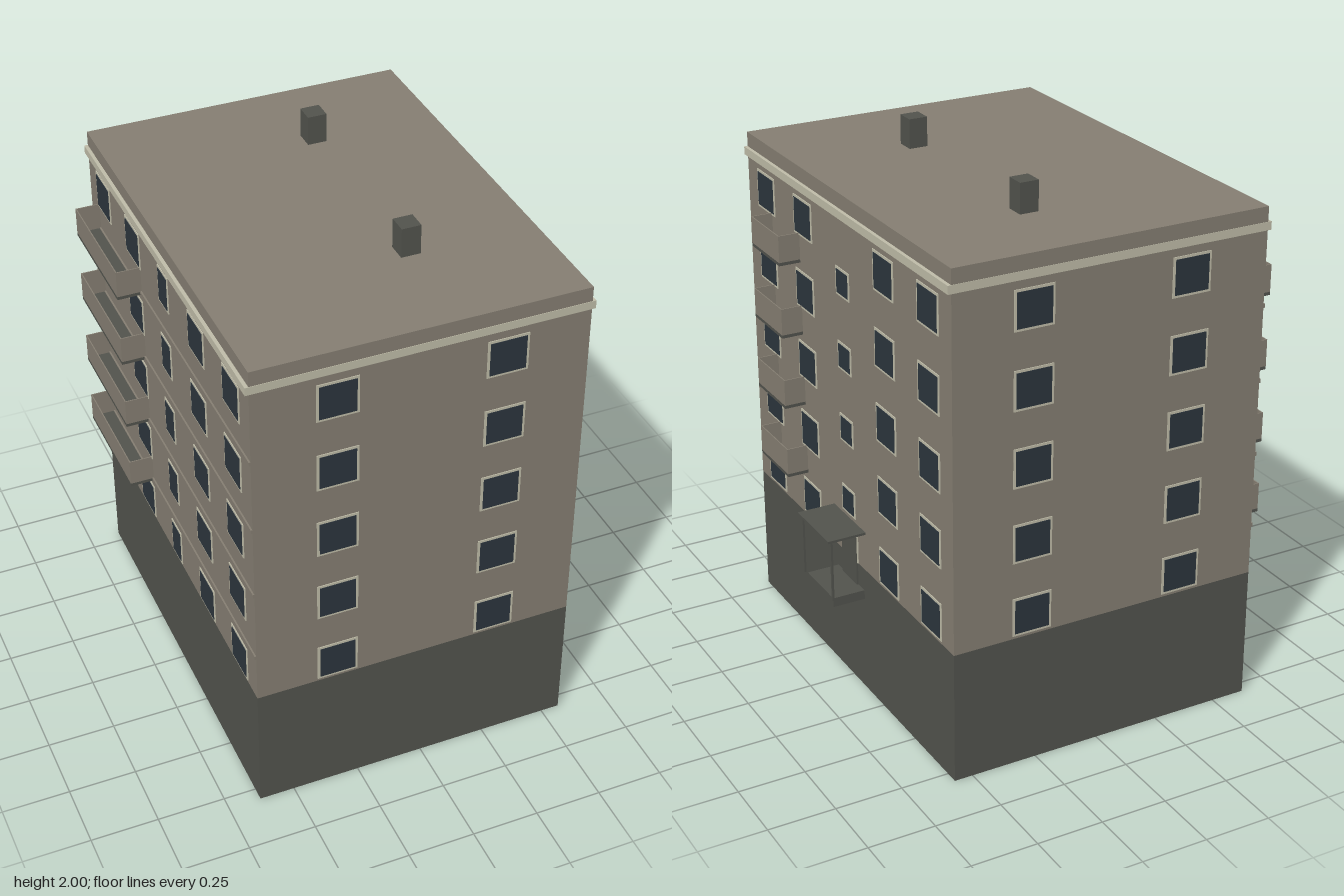
import * as THREE from 'three';

const material = (name, color) => {
  const m = new THREE.MeshStandardMaterial({ color });
  m.name = name;
  return m;
};

export function createModel() {
  const wall = material('wall plaster', 0x857e72);
  const dark = material('dark concrete', 0x52534d);
  const glass = material('window glass', 0x2c353d);
  const trim = material('pale trim', 0xbfbca8);

  const model = new THREE.Group();
  model.name = 'apartmentBlock';
  const X0 = -0.63, X1 = 0.57, CX = -0.03, Z = 0.8;

  // Box given by its minimum and maximum corners
  const box = (name, mat, x0, x1, y0, y1, z0, z1, parent = model) => {
    const mesh = new THREE.Mesh(new THREE.BoxGeometry(x1 - x0, y1 - y0, z1 - z0), mat);
    mesh.position.set((x0 + x1) / 2, (y0 + y1) / 2, (z0 + z1) / 2);
    mesh.name = name;
    parent.add(mesh);
    return mesh;
  };

  // Main volumes
  box('plinth', dark, X0, X1, 0, 0.5, -Z, Z);
  box('walls', wall, X0, X1, 0.5, 1.89, -Z, Z);
  box('cornice', trim, X0 - 0.013, X1 + 0.013, 1.805, 1.835, -Z - 0.002, Z + 0.002);
  for (const z of [-0.437, 0.363]) {
    box('chimney', dark, 0.068, 0.139, 1.89, 2, z - 0.036, z + 0.036);
  }

  // Each facade is a group whose local +z points out of the wall
  const facade = (name, x, z, turn) => {
    const g = new THREE.Group();
    g.name = name;
    g.position.set(x, 0, z);
    g.rotation.y = turn;
    model.add(g);
    return g;
  };
  const front = facade('frontFacade', CX, Z, 0);
  const back = facade('backFacade', CX, -Z, Math.PI);
  const entrance = facade('entranceFacade', X1, 0, Math.PI / 2);
  const rear = facade('balconyFacade', X0, 0, -Math.PI / 2);

  // Window: pale surround plate with a glass plate on it
  const addWindow = (parent, u, y, w, h) => {
    const g = new THREE.Group();
    g.name = 'window';
    g.position.set(u, y, 0);
    parent.add(g);
    const f = 0.009;
    box('windowFrame', trim, -w / 2, w / 2, -h / 2, h / 2, -0.002, 0.003, g);
    box('windowGlass', glass, -w / 2 + f, w / 2 - f, -h / 2 + f, h / 2 - f, 0, 0.005, g);
  };

  for (let floor = 0; floor < 5; floor++) {
    const y = 0.583 + floor * 0.28;
    for (const u of [-0.3, 0.3]) {
      addWindow(front, u, y, 0.15, 0.145);
      addWindow(back, u, y, 0.15, 0.145);
    }
    for (const u of [-0.64, -0.32, 0.32, 0.64]) {
      addWindow(entrance, u, y, 0.15, 0.145);
      addWindow(rear, u, y, 0.15, 0.145);
    }
    addWindow(rear, 0, y, 0.1, 0.145);
  }

  // Balcony: dark slab with three thin parapet panels
  const addBalcony = (parent, u0, u1, y, depth) => {
    const g = new THREE.Group();
    g.name = 'balcony';
    g.position.y = y;
    parent.add(g);
    const t = 0.004;
    box('balconySlab', dark, u0, u1, 0, 0.012, 0, depth, g);
    box('balconyFront', wall, u0, u1, 0.012, 0.113, depth - t, depth, g);
    box('balconySide', wall, u0, u0 + t, 0.012, 0.113, 0, depth - t, g);
    box('balconySide', wall, u1 - t, u1, 0.012, 0.113, 0, depth - t, g);
  };

  for (let i = 0; i < 4; i++) {
    const y = 0.684 + i * 0.28;
    addBalcony(entrance, -0.6, -0.357, y, 0.082);
    addBalcony(rear, -0.712, -0.252, y, 0.09);
    // Stair windows sit between floors
    addWindow(entrance, 0, 0.725 + i * 0.28, 0.105, 0.105);
    // Floor ledge
    box('floorLedge', wall, -Z, Z, y, y + 0.015, 0, 0.006, rear);
  }

  // Entrance door with clipped upper corners
  const doorPlate = (name, mat, w, y0, y1, depth) => {
    const c = 0.018;
    const s = new THREE.Shape([
      [-w, y0], [w, y0], [w, y1 - c], [w - c, y1], [c - w, y1], [-w, y1 - c],
    ].map(([x, y]) => new THREE.Vector2(x, y)));
    const mesh = new THREE.Mesh(
      new THREE.ExtrudeGeometry(s, { depth, bevelEnabled: false }), mat);
    mesh.name = name;
    entrance.add(mesh);
  };
  doorPlate('doorFrame', trim, 0.067, 0.5, 0.633, 0.004);
  doorPlate('door', dark, 0.06, 0.41, 0.622, 0.007);

  // Porch: step, canopy and two posts
  box('porchStep', dark, -0.11, 0.11, 0.375, 0.411, 0, 0.125, entrance);
  box('porchCanopy', dark, -0.13, 0.13, 0.647, 0.656, 0, 0.147, entrance);
  for (const u of [-0.121, 0.121]) {
    box('porchPost', dark, u - 0.004, u + 0.004, 0.411, 0.647, 0.127, 0.135, entrance);
  }

  return model;
}
